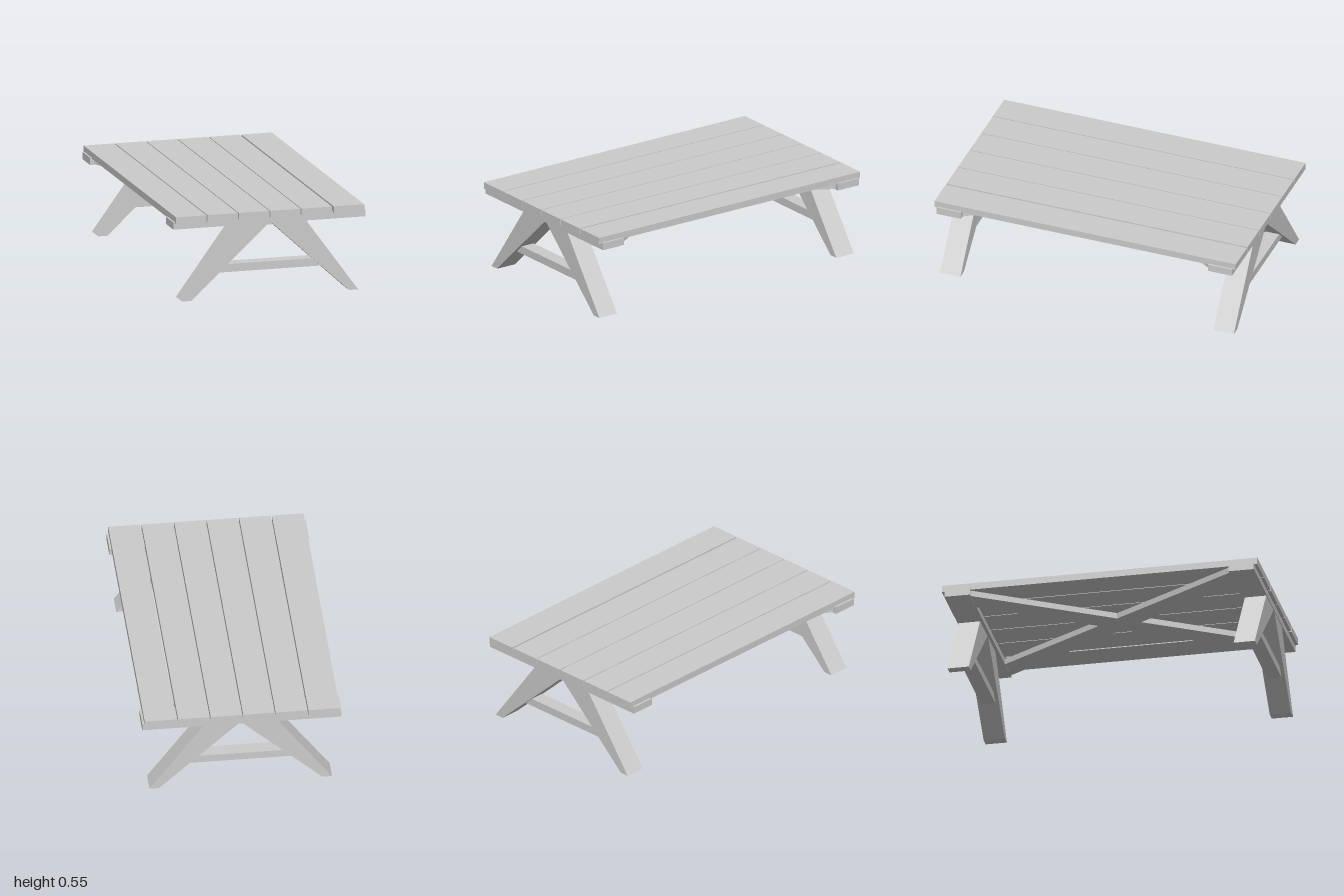
import * as THREE from 'three';

const material = new THREE.MeshStandardMaterial({ color: 0xcccccc, flatShading: true });

// Box from its low and high limits on each axis
function board(name, [x0, x1], [y0, y1], [z0, z1]) {
  const mesh = new THREE.Mesh(new THREE.BoxGeometry(x1 - x0, y1 - y0, z1 - z0), material);
  mesh.position.set((x0 + x1) / 2, (y0 + y1) / 2, (z0 + z1) / 2);
  mesh.name = name;
  return mesh;
}

// Flat outline extruded to a given depth
function slab(name, points, depth) {
  const shape = new THREE.Shape(points.map(([x, y]) => new THREE.Vector2(x, y)));
  const mesh = new THREE.Mesh(new THREE.ExtrudeGeometry(shape, { depth, bevelEnabled: false }), material);
  mesh.name = name;
  return mesh;
}

export function createModel() {
  const table = new THREE.Group();
  table.name = 'plankTable';

  // Table top: six long planks with narrow gaps
  const plankStarts = [-0.61, -0.406, -0.203, 0, 0.203, 0.412];
  for (const x of plankStarts) {
    table.add(board('topPlank', [x, x + 0.197], [0.503, 0.546], [-1, 1]));
  }

  // Diagonal braces crossing under the planks, cut flush against the cleats
  for (const s of [-1, 1]) {
    const brace = slab('crossBrace', [
      [s * 0.512 - 0.084, -0.82], [s * 0.512 + 0.084, -0.82],
      [-s * 0.512 + 0.084, 0.82], [-s * 0.512 - 0.084, 0.82],
    ], 0.038);
    brace.rotation.x = -Math.PI / 2;
    brace.position.y = 0.466;
    table.add(brace);
  }

  // Each end: a cleat, two splayed tapering legs and a stretcher
  for (const end of [-1, 1]) {
    const z = end * 0.9;
    const trestle = new THREE.Group();
    trestle.name = end > 0 ? 'frontTrestle' : 'backTrestle';
    trestle.add(board('cleat', [-0.622, 0.622], [0.464, 0.51], [z - 0.08, z + 0.08]));

    for (const s of [-1, 1]) {
      const leg = slab(s > 0 ? 'leftLeg' : 'rightLeg', [
        [s * 0.57, 0], [s * 0.51, 0], [s * 0.01, 0.464], [s * 0.232, 0.464],
      ], 0.135);
      leg.position.set(0.007, 0, end * 0.9075 - 0.0675);
      trestle.add(leg);
    }

    const stretcher = slab('stretcher', [
      [-0.34, 0.163], [0.34, 0.163], [0.286, 0.213], [-0.286, 0.213],
    ], 0.09);
    stretcher.position.set(0.007, 0, end * 0.9075 - 0.045);
    trestle.add(stretcher);
    table.add(trestle);
  }

  return table;
}
